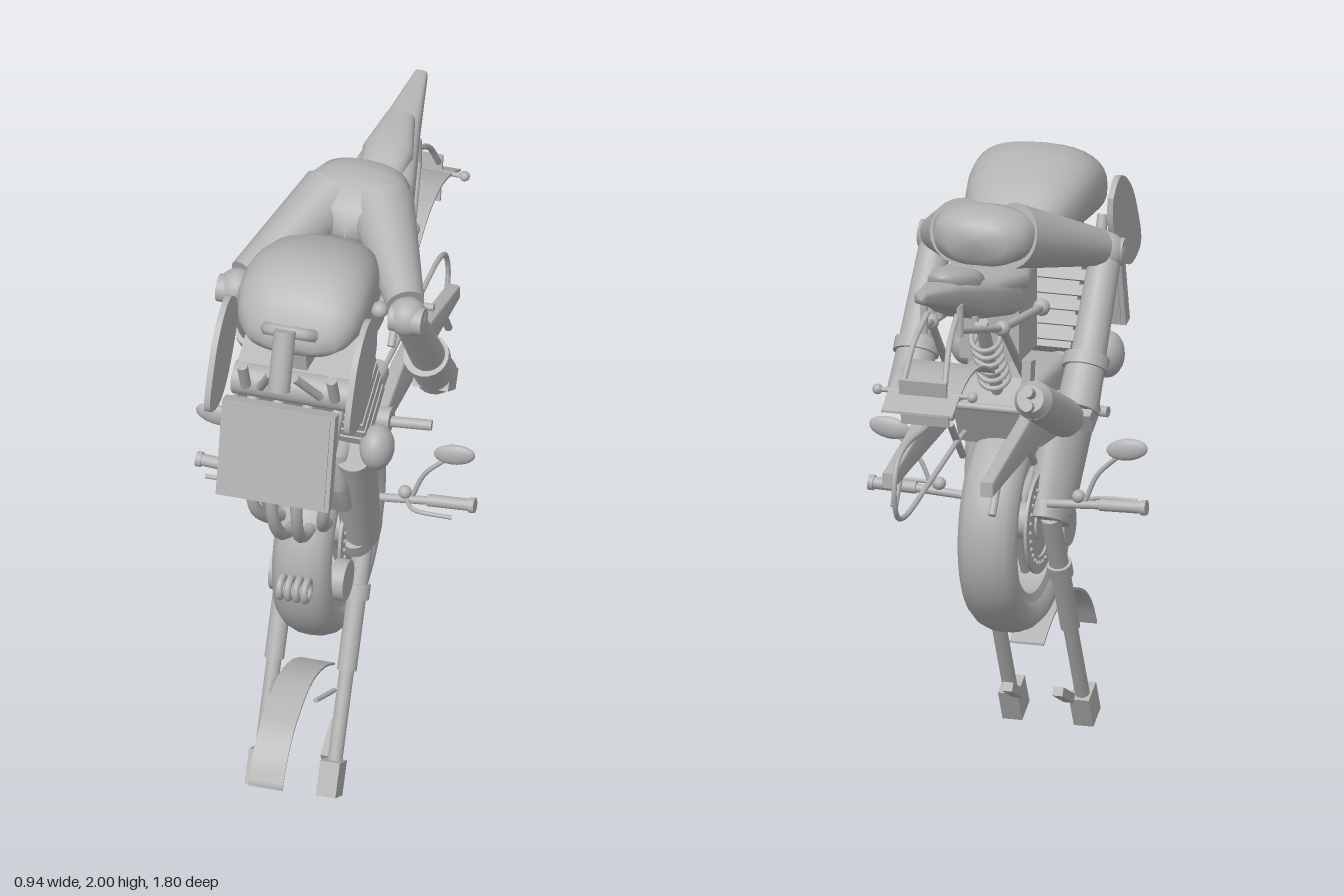
import * as THREE from 'three';
import { toCreasedNormals } from 'three/addons/utils/BufferGeometryUtils.js';

const grey = new THREE.MeshStandardMaterial({ color: 0xb2b2b2 });
grey.name = 'grey';
const V = (x, y, z) => new THREE.Vector3(x, y, z);
const UP = V(0, 1, 0);

export function createModel() {
  const root = new THREE.Group();
  root.name = 'motorbikeFigure';

  const add = (name, geo, pos) => {
    const m = new THREE.Mesh(geo, grey);
    m.name = name;
    if (pos) m.position.copy(pos);
    root.add(m);
    return m;
  };
  // Tapered cylinder between two points; sx flattens it sideways
  const rod = (name, a, b, r1, r2 = r1, sx = 1, n = 20) => {
    const d = b.clone().sub(a);
    const m = add(name, new THREE.CylinderGeometry(r2, r1, d.length(), n), a.clone().add(b).multiplyScalar(0.5));
    m.quaternion.setFromUnitVectors(UP, d.normalize());
    m.scale.x = sx;
    return m;
  };
  const tube = (name, pts, r, closed = false) =>
    add(name, new THREE.TubeGeometry(new THREE.CatmullRomCurve3(pts, closed), pts.length * 8, r, 8, closed));
  const ball = (name, p, r, sx = 1, sy = 1, sz = 1) => {
    const m = add(name, new THREE.SphereGeometry(r, 24, 16), p);
    m.scale.set(sx, sy, sz);
    return m;
  };
  const box = (name, w, h, d, p, tilt = 0) => {
    const m = add(name, new THREE.BoxGeometry(w, h, d), p);
    m.rotation.x = tilt;
    return m;
  };
  // Side profile given as [z, y], extruded across x
  const plate = (name, pts, width, x = 0, bevel = 0, smooth = false) => {
    const p2 = pts.map(([z, y]) => new THREE.Vector2(-z, y));
    const s = new THREE.Shape(smooth ? new THREE.SplineCurve([...p2, p2[0]]).getPoints(40) : p2);
    const g = new THREE.ExtrudeGeometry(s, {
      depth: width - 2 * bevel, bevelEnabled: bevel > 0, bevelSize: bevel, bevelThickness: bevel, bevelOffset: -bevel, bevelSegments: 3,
    });
    g.translate(0, 0, -width / 2 + bevel).rotateY(Math.PI / 2);
    return add(name, toCreasedNormals(g, 0.6), V(x, 0, 0));
  };
  // Thin curved sheet following a [z, y] line
  const sheet = (name, pts, width) => {
    const c = new THREE.SplineCurve(pts.map((p) => new THREE.Vector2(...p))).getPoints(24).map((p) => [p.x, p.y]);
    return plate(name, [...c, ...c.map(([z, y]) => [z, y - 0.008]).reverse()], width);
  };
  // Rounded body from stations [z, halfWidth, yBottom, yTop], z increasing
  const loft = (name, st, power = 0.8, n = 32) => {
    const pos = [], idx = [];
    st.forEach(([z, w, y0, y1]) => {
      for (let j = 0; j < n; j++) {
        const a = (j / n) * Math.PI * 2, f = (t) => Math.sign(t) * Math.abs(t) ** power;
        pos.push(w * f(Math.cos(a)), (y0 + y1) / 2 + ((y1 - y0) / 2) * f(Math.sin(a)), z);
      }
    });
    for (let i = 0; i < st.length - 1; i++) for (let j = 0; j < n; j++) {
      const a = i * n + j, b = i * n + ((j + 1) % n);
      idx.push(a, b, a + n, b, b + n, a + n);
    }
    const g = new THREE.BufferGeometry();
    g.setAttribute('position', new THREE.Float32BufferAttribute(pos, 3));
    g.setIndex(idx);
    g.computeVertexNormals();
    return add(name, g);
  };

  // Fuel tank
  loft('tank', [[0.055, 0.01, 1.75, 1.77], [0.06, 0.1, 1.72, 1.81], [0.14, 0.15, 1.71, 1.895], [0.24, 0.187, 1.71, 1.955],
    [0.34, 0.207, 1.72, 1.99], [0.43, 0.215, 1.72, 2.0], [0.51, 0.212, 1.72, 1.975], [0.57, 0.19, 1.73, 1.92],
    [0.61, 0.15, 1.74, 1.86], [0.63, 0.08, 1.76, 1.81], [0.632, 0.002, 1.78, 1.79]]);
  // Headstock, radiator and horn
  rod('headstock', V(0, 1.69, 0.75), V(0, 1.88, 0.68), 0.036);
  tube('headstockBrace', [V(-0.08, 1.835, 0.62), V(-0.055, 1.855, 0.65), V(0.055, 1.855, 0.65), V(0.08, 1.835, 0.62)], 0.022);
  box('radiator', 0.38, 0.33, 0.045, V(0, 1.455, 0.767), -0.24);
  box('radiatorCore', 0.35, 0.3, 0.055, V(0, 1.455, 0.767), -0.24);
  rod('horn', V(-0.1, 1.4, 0.63), V(0.1, 1.4, 0.63), 0.075);

  // Finned engine block and crankcase
  const lean = 0.49, blockAt = (t) => V(0, 1.5 + t * Math.cos(lean), 0.415 + t * Math.sin(lean));
  box('cylinderBlock', 0.33, 0.38, 0.17, blockAt(0), lean);
  for (let i = 0; i < 5; i++) box('coolingFin', 0.41, 0.036, 0.21, blockAt(-0.15 + i * 0.05), lean);
  box('cylinderHead', 0.39, 0.11, 0.2, blockAt(0.14), lean);
  rod('headCover', V(-0.2, 1.59, 0.57), V(0.2, 1.59, 0.57), 0.055);
  plate('crankcase', [[0.5, 1.29], [0.27, 1.34], [0.0, 1.34], [-0.05, 1.24], [0.03, 1.1], [0.25, 1.08], [0.42, 1.02], [0.5, 1.15]], 0.3, 0, 0.03);
  // Frame core below the tank
  box('airBox', 0.2, 0.27, 0.2, V(0, 1.56, 0.0));
  plate('frameSpine', [[0.62, 1.78], [0.1, 1.74], [-0.1, 1.66], [-0.1, 1.58], [0.15, 1.64], [0.6, 1.68]], 0.1);

  // Exhaust headers, outer pair nested behind the inner pair
  for (const [x, dz] of [[-0.13, 0.045], [-0.045, 0], [0.045, 0], [0.13, 0.045]]) {
    tube('exhaustHeader', [V(x * 1.1, 1.53, 0.58 - dz), V(x * 1.1, 1.46, 0.655 - dz), V(x, 1.32, 0.69 - dz), V(x * 0.9, 1.15, 0.685 - dz),
      V(x * 0.75, 1.05 + dz / 2, 0.63 - dz), V(x * 0.65, 1.0 + dz / 2, 0.55 - dz), V(x * 0.6, 0.98 + dz / 2, 0.47)], 0.021);
  }
  // Silencer on one side
  rod('silencer', V(-0.26, 1.26, -0.12), V(-0.26, 1.425, -0.465), 0.064);
  rod('silencerNeck', V(-0.26, 1.425, -0.465), V(-0.26, 1.44, -0.5), 0.064, 0.045);
  for (const s of [-1, 1]) rod('silencerTip', V(-0.26, 1.425 + s * 0.024, -0.48), V(-0.26, 1.45 + s * 0.024, -0.535), 0.018);
  tube('silencerPipe', [V(-0.1, 1.15, 0.15), V(-0.17, 1.17, 0.05), V(-0.25, 1.25, -0.1)], 0.025);
  box('silencerBracket', 0.03, 0.18, 0.05, V(-0.19, 1.41, -0.3), 0.15);

  // Hips joining the two upper limbs
  loft('hips', [[-0.262, 0.002, 1.88, 1.882], [-0.255, 0.1, 1.81, 1.93], [-0.22, 0.15, 1.78, 1.955], [-0.15, 0.175, 1.77, 1.968],
    [-0.08, 0.16, 1.76, 1.95], [-0.01, 0.12, 1.75, 1.9], [0.01, 0.002, 1.8, 1.82]], 0.85);

  // Wheel
  const wc = V(0, 0.8, 0.185);
  const lathe = (name, pts) => {
    const g = new THREE.LatheGeometry(pts.map((p) => new THREE.Vector2(...p)), 56);
    g.rotateZ(Math.PI / 2);
    add(name, toCreasedNormals(g, 0.8), wc);
  };
  lathe('tyre', [[0.26, -0.075], [0.29, -0.095], [0.325, -0.095], [0.35, -0.07], [0.364, -0.035], [0.367, 0],
    [0.364, 0.035], [0.35, 0.07], [0.325, 0.095], [0.29, 0.095], [0.26, 0.075], [0.26, -0.075]]);
  lathe('rim', [[0.235, -0.07], [0.272, -0.08], [0.272, 0.08], [0.235, 0.07], [0.235, -0.07]]);
  rod('hub', V(-0.09, 0.8, 0.185), V(0.09, 0.8, 0.185), 0.06);
  for (let i = 0; i < 10; i++) {
    const a = (Math.floor(i / 2) + 0.25) * Math.PI * 0.4 + (i % 2 ? 0.14 : -0.14), c = Math.cos(a), s = Math.sin(a);
    rod('spoke', V(0, 0.8 + s * 0.04, 0.185 + c * 0.04), V(0, 0.8 + s * 0.25, 0.185 + c * 0.25), 0.02, 0.016, 1, 8);
  }

  // Parts mirrored on both sides
  for (const s of [-1, 1]) {
    // Brake disc with carrier and studs
    const d = s * 0.085;
    lathe('brakeDisc', [[0.115, d - 0.005], [0.17, d - 0.005], [0.17, d + 0.005], [0.115, d + 0.005], [0.115, d - 0.005]]);
    rod('discCarrier', V(s * 0.07, 0.8, 0.185), V(s * 0.082, 0.8, 0.185), 0.12, 0.12, 1, 32);
    for (let i = 0; i < 28; i++) {
      const a = i * Math.PI / 14;
      ball('discStud', V(s * 0.09, 0.8 + 0.135 * Math.sin(a), 0.185 + 0.135 * Math.cos(a)), 0.008);
    }
    rod('brakeCaliper', V(s * 0.08, 0.73, 0.385), V(s * 0.125, 0.73, 0.385), 0.068);

    // Upper limb, elbow and shin
    const knee = V(s * 0.285, 1.71, 0.255);
    rod('thigh', V(s * 0.085, 1.86, -0.12), V(s * 0.268, 1.735, 0.22), 0.108, 0.062);
    ball('kneeJoint', knee, 0.065);
    rod('kneeCap', V(s * 0.235, 1.71, 0.27), V(s * 0.345, 1.71, 0.27), 0.045);
    rod('shin', knee, V(s * 0.29, 1.39, 0.02), 0.052, 0.058);
    rod('shinCuff', V(s * 0.285, 1.42, 0.045), V(s * 0.285, 1.385, 0.02), 0.075);
    rod('boot', V(s * 0.285, 1.39, 0.025), V(s * 0.285, 1.27, -0.07), 0.064, 0.07);
    box('bootEnd', 0.12, 0.07, 0.1, V(s * 0.285, 1.265, -0.06), -0.5);
    rod('footPeg', V(s * 0.17, 1.21, 0.15), V(s * 0.33, 1.21, 0.13), 0.018);

    // Lower limb and its cuff
    ball('limbJoint', V(s * 0.235, 1.305, 0.43), 0.07, 0.8, 1.1, 1);
    rod('lowerLimb', V(s * 0.148, 1.3, 0.415), V(s * 0.112, 0.83, 0.205), 0.115, 0.096, 0.68, 28);
    rod('limbCuff', V(s * 0.112, 0.85, 0.215), V(s * 0.112, 0.8, 0.19), 0.106, 0.106, 0.6, 28);

    // Fork leg, axle block and pegs
    const f = (t) => V(s * 0.122, 0.82 - 0.75 * t, 0.175 + 0.375 * t);
    rod('forkUpper', f(0), f(0.58), 0.032);
    rod('forkLower', f(0.55), f(0.97), 0.024);
    rod('forkClamp', f(0.24), f(0.3), 0.042);
    box('forkFoot', 0.066, 0.115, 0.09, V(s * 0.12, 0.072, 0.56), -0.464);
    box('axlePeg', 0.035, 0.03, 0.14, V(s * 0.085, 0.135, 0.44), 0.45);
    rod('fenderStay', V(s * 0.075, 0.385, 0.59), V(s * 0.1, 0.345, 0.46), 0.008);

    // Handlebar, lever and mirror
    rod('handlebar', V(s * 0.13, 0.885, 0.12), V(s * 0.33, 0.9, 0.11), 0.014);
    rod('grip', V(s * 0.31, 0.9, 0.11), V(s * 0.45, 0.905, 0.105), 0.02);
    rod('gripEnd', V(s * 0.45, 0.905, 0.105), V(s * 0.468, 0.906, 0.105), 0.025);
    tube('lever', [V(s * 0.24, 0.9, 0.12), V(s * 0.28, 0.9, 0.175), V(s * 0.415, 0.9, 0.185)], 0.007);
    ball('reservoir', V(s * 0.235, 0.92, 0.115), 0.022);
    tube('mirrorStem', [V(s * 0.26, 0.91, 0.11), V(s * 0.3, 1.0, 0.11), V(s * 0.37, 1.07, 0.11)], 0.008);
    const mirror = ball('mirror', V(s * 0.4, 1.095, 0.11), 0.07, 1, 0.52, 0.28);
    mirror.rotation.z = s * 0.15;

    // Oval side panel
    plate('sidePanel', [[0.465, 1.82], [0.53, 1.87], [0.6, 1.855], [0.68, 1.79], [0.735, 1.7], [0.772, 1.61], [0.755, 1.565],
      [0.67, 1.54], [0.59, 1.57], [0.52, 1.64], [0.465, 1.73]], 0.02, s * 0.235, 0, true);

    // Swingarm
    plate('swingarm', [[0.16, 1.25], [-0.04, 1.31], [-0.16, 1.31], [-0.67, 1.2], [-0.67, 1.15], [-0.5, 1.16], [0.16, 1.19]], 0.045, s * 0.165, 0.008);
    rod('swingarmPivot', V(s * 0.13, 1.22, 0.15), V(s * 0.2, 1.22, 0.15), 0.04);
    rod('standPeg', V(s * 0.165, 1.16, -0.55), V(s * 0.165, 1.07, -0.61), 0.013);
    rod('lowerLink', V(s * 0.12, 1.06, 0.0), V(s * 0.12, 1.21, -0.14), 0.012);

    // Subframe rails
    const hubP = V(s * 0.12, 1.62, -0.35);
    rod('subframeRail', V(s * 0.13, 1.57, 0.05), hubP, 0.014);
    rod('subframeRail', hubP, V(s * 0.06, 1.69, -0.62), 0.012);
    rod('subframeStrut', hubP, V(s * 0.13, 1.34, -0.08), 0.013);
    ball('railJoint', hubP, 0.026);
    ball('railJoint', V(s * 0.13, 1.57, 0.05), 0.028);
    for (const z of [-0.45, -0.62]) rod('seatPost', V(s * 0.06, 1.67, z), V(s * 0.06, 1.78, z), 0.012);

    // Tail fender stays and indicators
    tube('tailStay', [V(s * 0.05, 1.74, -0.62), V(s * 0.06, 1.67, -0.74), V(s * 0.07, 1.56, -0.82)], 0.01);
    rod('indicatorStem', V(0, 1.53, -0.81), V(s * 0.16, 1.53, -0.81), 0.008);
    ball('indicator', V(s * 0.16, 1.53, -0.81), 0.017);
    // Frame tubes and caps behind the radiator
    rod('frontFrameTube', V(s * 0.04, 1.72, 0.71), V(s * 0.1, 1.6, 0.62), 0.014);
    rod('fillerCap', V(s * 0.15, 1.6, 0.62), V(s * 0.15, 1.7, 0.66), 0.018);
  }

  // Seat, pad and tail
  loft('tail', [[-0.86, 0.002, 1.86, 1.862], [-0.855, 0.022, 1.845, 1.885], [-0.63, 0.065, 1.76, 1.85], [-0.4, 0.115, 1.66, 1.8],
    [-0.2, 0.14, 1.61, 1.75], [-0.15, 0.14, 1.61, 1.72], [-0.149, 0.002, 1.65, 1.66]], 0.6);
  loft('rearPad', [[-0.63, 0.002, 1.86, 1.862], [-0.62, 0.05, 1.82, 1.88], [-0.48, 0.085, 1.75, 1.86], [-0.37, 0.07, 1.73, 1.82], [-0.36, 0.002, 1.76, 1.77]]);
  loft('riderSeat', [[-0.39, 0.002, 1.77, 1.772], [-0.37, 0.11, 1.71, 1.81], [-0.15, 0.15, 1.67, 1.77], [0.08, 0.1, 1.69, 1.75], [0.09, 0.002, 1.72, 1.73]]);
  sheet('rearFender', [[-0.43, 1.5], [-0.55, 1.555], [-0.68, 1.57], [-0.8, 1.54], [-0.9, 1.49]], 0.24);
  box('plateHolder', 0.16, 0.16, 0.012, V(0, 1.5, -0.82), -0.2);
  // Front fender
  sheet('frontFender', [[0.9, 0.24], [0.84, 0.33], [0.74, 0.4], [0.58, 0.442], [0.43, 0.41], [0.31, 0.345]], 0.115);

  // Coil rings ahead of the wheel
  for (const x of [-0.042, -0.014, 0.014, 0.042]) {
    add('coilRing', new THREE.TorusGeometry(0.033, 0.012, 10, 32), V(x, 0.8, 0.575)).rotation.y = Math.PI / 2;
  }

  // Drive chain and sprocket on the left
  const loop = [[0.12, 1.25], [-0.2, 1.275], [-0.45, 1.285], [-0.66, 1.29], [-0.74, 1.26], [-0.775, 1.17], [-0.74, 1.08], [-0.66, 1.055],
    [-0.4, 1.085], [-0.1, 1.13], [0.12, 1.16], [0.16, 1.205]];
  tube('chain', loop.map(([z, y]) => V(0.115, y, z)), 0.009, true);
  rod('sprocket', V(0.1, 1.205, 0.11), V(0.13, 1.205, 0.11), 0.045);

  // Rear shock with spring
  const coil = [];
  for (let i = 0; i <= 60; i++) {
    const a = i * Math.PI / 5, t = i / 60;
    coil.push(V(0.045 * Math.cos(a), 1.33 + 0.19 * t + 0.03 * Math.sin(a), -0.03 - 0.12 * t + 0.04 * Math.sin(a)));
  }
  tube('shockSpring', coil, 0.009);
  rod('shockBody', V(0, 1.28, 0.0), V(0, 1.58, -0.19), 0.022);
  rod('crossBar', V(-0.2, 1.34, -0.33), V(0.2, 1.34, -0.33), 0.012);
  return root;
}
